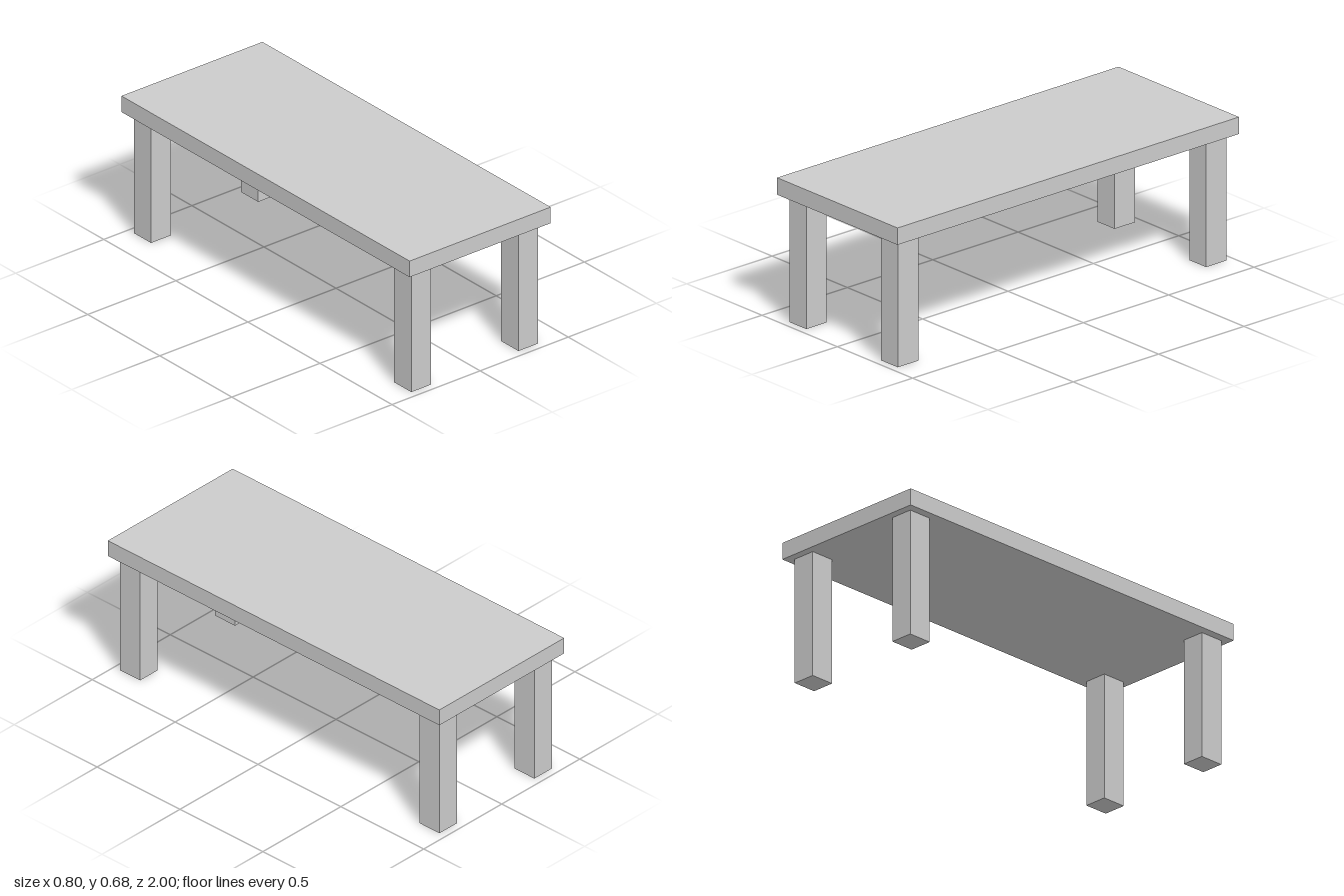
import * as THREE from 'three';

export function createModel() {
  const group = new THREE.Group();
  const material = new THREE.MeshStandardMaterial({ color: 0xcccccc, flatShading: true });

  const addBox = (name, size, position) => {
    const mesh = new THREE.Mesh(new THREE.BoxGeometry(...size), material);
    mesh.name = name;
    mesh.position.set(...position);
    group.add(mesh);
  };

  const legHeight = 0.6;
  const topThickness = 0.08;

  // Table top slab
  addBox('tableTop', [0.8, topThickness, 2], [0, legHeight + topThickness / 2, 0]);

  // Four legs, set in slightly from the corners
  for (const [xName, x] of [['Left', 1], ['Right', -1]]) {
    for (const [zName, z] of [['front', 1], ['back', -1]]) {
      addBox(`${zName}${xName}Leg`, [0.112, legHeight, 0.12], [x * 0.304, legHeight / 2, z * 0.903]);
    }
  }

  return group;
}
